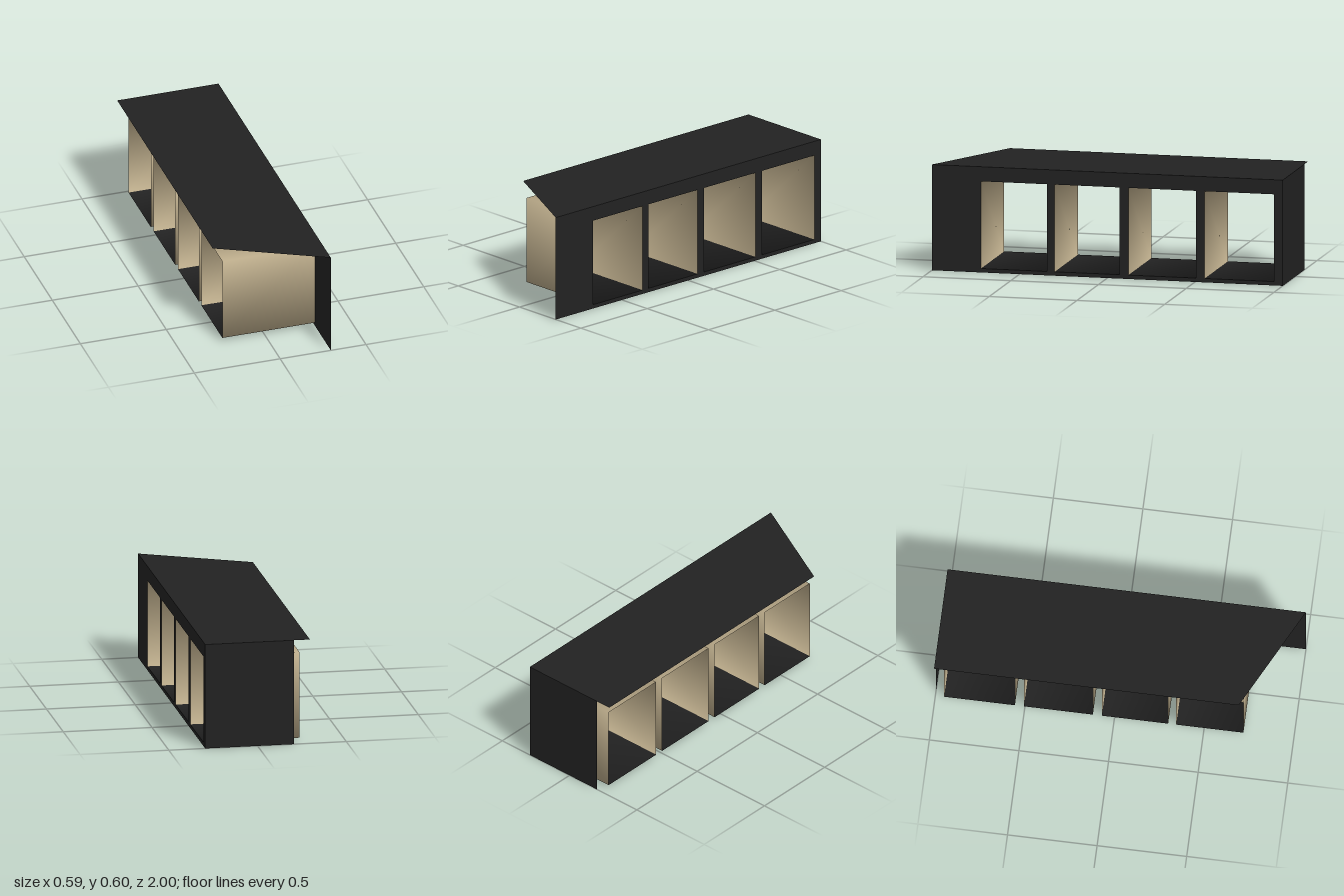
import * as THREE from 'three';

const dark = new THREE.MeshStandardMaterial({ name: 'charcoal', color: 0x222222, side: THREE.DoubleSide });
const tan = new THREE.MeshStandardMaterial({ name: 'sand', color: 0xbbab8a, side: THREE.DoubleSide });

const HEIGHT = 0.595, WALL_X = 0.295, BAY_BACK_X = -0.245;
const FLOOR_Y = 0.022, CEILING_Y = 0.513;
// z range of each open bay
const bays = [[0.345, 0.72], [-0.07, 0.30], [-0.505, -0.12], [-0.95, -0.555]];

const polygon = (Type, points) => new Type(points.map(([x, y]) => new THREE.Vector2(x, y)));
const rect = (Type, x0, y0, x1, y1) => polygon(Type, [[x0, y0], [x1, y0], [x1, y1], [x0, y1]]);

function addMesh(group, name, geometry, material) {
  const mesh = new THREE.Mesh(geometry, material);
  mesh.name = name;
  group.add(mesh);
  return mesh;
}

// Open-ended bay: sand walls and ceiling, charcoal floor, softened corners
function bayGeometry(z0, z1) {
  const positions = [], normals = [];
  for (const x of [BAY_BACK_X, WALL_X])
    for (const y of [FLOOR_Y, CEILING_Y])
      for (const z of [z0, z1]) {
        positions.push(x, y, z);
        const n = new THREE.Vector3(x === WALL_X ? 1 : 0, y === CEILING_Y ? 1 : -1, z === z1 ? 1 : -1);
        normals.push(...n.normalize().toArray());
      }
  const quads = [[2, 3, 7, 6], [1, 5, 7, 3], [0, 2, 6, 4], [0, 4, 5, 1]];
  const geometry = new THREE.BufferGeometry();
  geometry.setAttribute('position', new THREE.Float32BufferAttribute(positions, 3));
  geometry.setAttribute('normal', new THREE.Float32BufferAttribute(normals, 3));
  geometry.setIndex(quads.flatMap(([a, b, c, d]) => [a, b, c, a, c, d]));
  geometry.addGroup(0, 18, 0);
  geometry.addGroup(18, 6, 1);
  return geometry;
}

export function createModel() {
  const model = new THREE.Group();
  model.name = 'openBayShelter';

  // Long side wall with one opening per bay
  const wall = rect(THREE.Shape, -1, 0, 1, HEIGHT);
  for (const [z0, z1] of bays) wall.holes.push(rect(THREE.Path, -z1, FLOOR_Y, -z0, CEILING_Y));
  const sideWall = addMesh(model, 'sideWall', new THREE.ShapeGeometry(wall).rotateY(Math.PI / 2), dark);
  sideWall.position.x = WALL_X;

  // End wall, facing backwards
  const end = rect(THREE.Shape, -WALL_X, 0, 0.205, HEIGHT);
  const endWall = addMesh(model, 'endWall', new THREE.ShapeGeometry(end).rotateY(Math.PI), dark);
  endWall.position.z = -1;

  // Flat roof with a slanted front edge
  const outline = polygon(THREE.Shape, [[-0.295, -0.7], [0.295, -1], [0.295, 1], [-0.295, 1]]);
  const roof = addMesh(model, 'roof', new THREE.ShapeGeometry(outline).rotateX(-Math.PI / 2), dark);
  roof.position.y = HEIGHT;

  // Row of bays
  bays.forEach(([z0, z1], i) => addMesh(model, `bay${i + 1}`, bayGeometry(z0, z1), [tan, dark]));

  return model;
}
